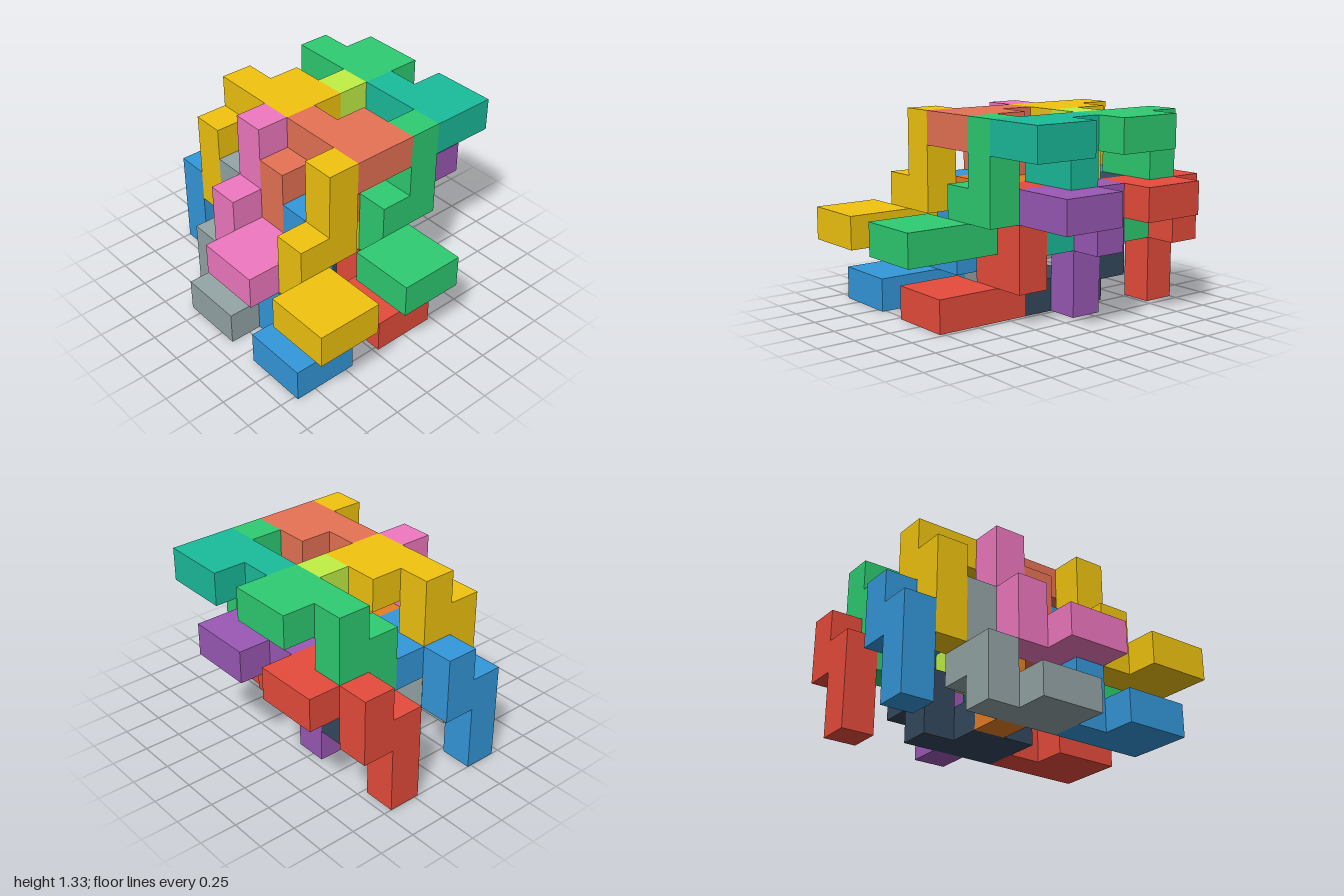
import * as THREE from 'three';
import { mergeGeometries } from 'three/addons/utils/BufferGeometryUtils.js';

const U = 2 / 9; // edge of one cube cell

// Box covering whole cells, from cell (x, y, z) with w * h * d cells
function cells(x, y, z, w, h, d) {
  return new THREE.BoxGeometry(w * U, h * U, d * U)
    .translate((x + (w - 1) / 2) * U, (y + (h - 1) / 2) * U, (z + (d - 1) / 2) * U);
}

export function createModel() {
  const model = new THREE.Group();
  model.name = 'interlockingBlocks';

  // One puzzle piece: square plate, short post beside it, tall post behind that
  const piece = mergeGeometries([
    cells(1, 0, 0, 2, 1, 2),
    cells(0, 0, 0, 1, 2, 1),
    cells(0, 1, -1, 1, 3, 1),
  ]);

  // Corner cell of each piece in a layer (front layer first), with both layers' colours
  const upright = [
    [6, 2, 0xf1c40f, 0x2ecc71],
    [5, 0, 0x3498db, 0xe74c3c],
    [3, 2, 0xf078c0, 0xc0f045],
    [2, 0, 0x95a5a6, 0x34495e],
  ];
  const hanging = [
    [1, 5, 0xf1c40f, 0x2ecc71],
    [4, 5, 0xe77255, 0x1abc9c],
    [0, 3, 0x3498db, 0xe74c3c],
    [3, 3, 0xe67e22, 0x9b59b6],
  ];

  function addRow(row, name, z, turn) {
    row.forEach(([x, y, ...colors], n) => colors.forEach((color, layer) => {
      const mesh = new THREE.Mesh(piece, new THREE.MeshStandardMaterial({ color }));
      mesh.name = `${name}${layer ? 'Back' : 'Front'}${n + 1}`;
      mesh.position.set((x - 4) * U, (y + 0.5) * U, (z - 3 * layer - 3.5) * U);
      mesh.rotation.x = turn;
      model.add(mesh);
    }));
  }
  addRow(upright, 'uprightPiece', 6, 0);
  addRow(hanging, 'hangingPiece', 4, Math.PI); // same piece turned upside down

  return model;
}
